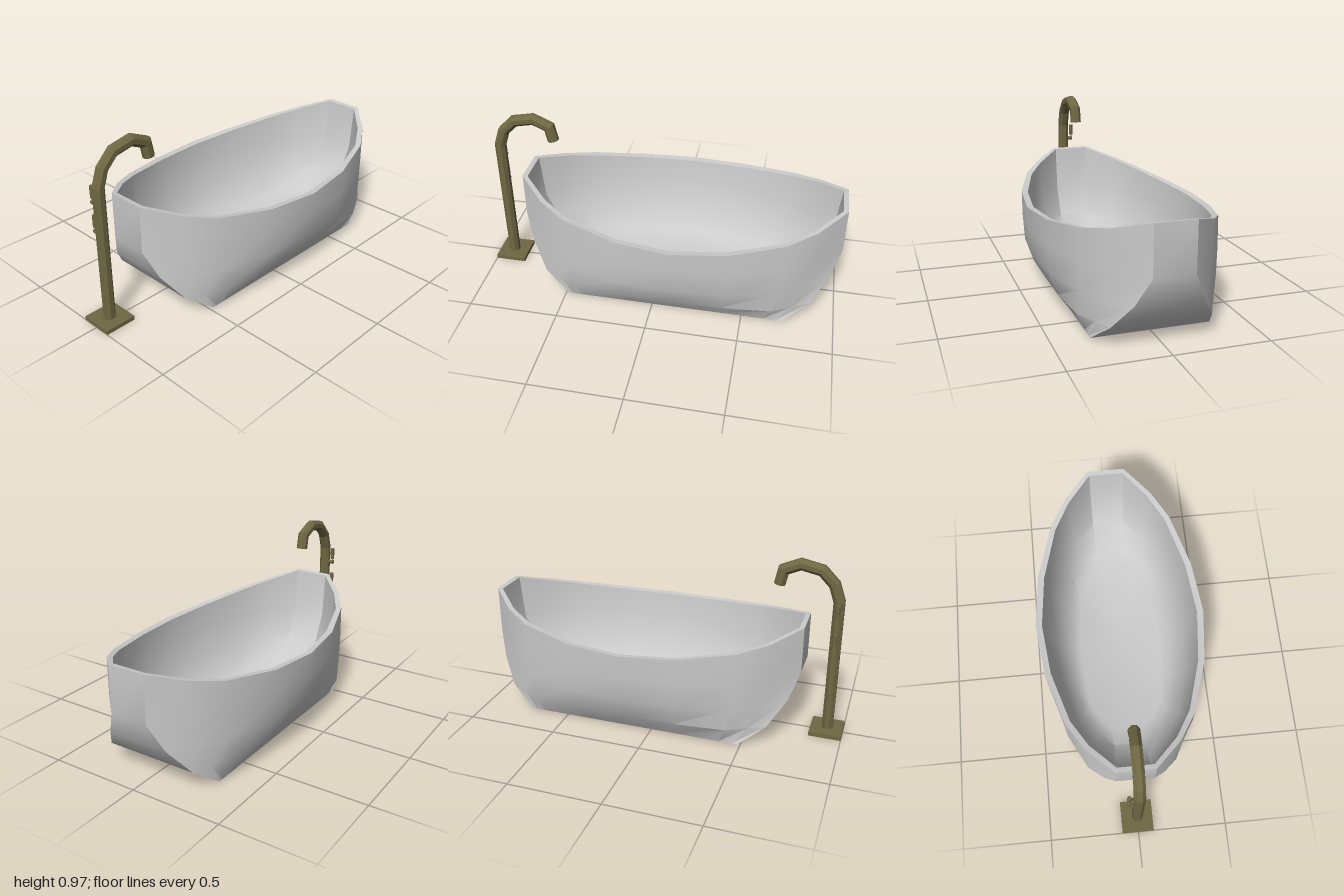
import * as THREE from 'three';
import { toCreasedNormals } from 'three/addons/utils/BufferGeometryUtils.js';

const lerp = THREE.MathUtils.lerp;

// Skin a stack of closed rings (anticlockwise seen from the far end), with optional caps.
function skin(rings, capStart, capEnd) {
  const n = rings[0].length, pos = rings.flat(2), idx = [];
  for (let r = 0; r < rings.length - 1; r++) {
    for (let i = 0; i < n; i++) {
      const a = r * n + i, b = r * n + (i + 1) % n;
      idx.push(a, b, b + n, a, b + n, a + n);
    }
  }
  const cap = (r, flip) => {
    const c = pos.length / 3;
    for (let k = 0; k < 3; k++) pos.push(rings[r].reduce((s, p) => s + p[k], 0) / n);
    for (let i = 0; i < n; i++) {
      const a = r * n + i, b = r * n + (i + 1) % n;
      idx.push(...(flip ? [c, b, a] : [c, a, b]));
    }
  };
  if (capStart) cap(0, true);
  if (capEnd) cap(rings.length - 1, false);
  const g = new THREE.BufferGeometry();
  g.setAttribute('position', new THREE.Float32BufferAttribute(pos, 3));
  g.setIndex(idx);
  return g;
}

// One quarter of the tub, end corner to middle: rim [x, y, z], base x,
// floor [x, z], and the outer wall's z at each height below the rim
const quarter = [
  { rim: [0.8825, 0.635, 0.105], baseX: 0.603, floor: [0.525, 0.09], wall: [0.31, 0.255, 0.17, 0.105] },
  { rim: [0.738, 0.584, 0.25], baseX: 0.57, floor: [0.46, 0.155], wall: [0.31, 0.3, 0.27, 0.252] },
  { rim: [0.588, 0.55, 0.345], baseX: 0.5, floor: [0.365, 0.21], wall: [0.31, 0.358, 0.352, 0.347] },
  { rim: [0.295, 0.517, 0.438], baseX: 0.25, floor: [0.2, 0.23], wall: [0.31, 0.383, 0.428, 0.436] },
  { rim: [0, 0.507, 0.472], baseX: 0, floor: [0, 0.24], wall: [0.31, 0.385, 0.445, 0.464] },
];
const CX = 0.1175;

// Mirror a quarter-column rule into a full ring
function ring(rule) {
  const q = quarter.map(rule);
  const half = [...q, ...q.slice(0, 4).reverse().map(([x, y, z]) => [-x, y, z])];
  return [
    ...half.map(([x, y, z]) => [CX + x, y, -z]),
    ...half.slice().reverse().map(([x, y, z]) => [CX + x, y, z]),
  ];
}

// Mitred octagonal sweep along a path in the xy plane, ending in a hollow mouth
function pipeRings(path, radius) {
  const v = path.map(([x, y]) => new THREE.Vector2(x, y));
  const dir = (i) => v[i + 1].clone().sub(v[i]).normalize();
  const last = v.length - 1;
  const make = (p, t, r, miter) => Array.from({ length: 8 }, (_, k) => {
    const a = (k + 0.5) * Math.PI / 4, c = Math.cos(a) * r * miter;
    return [p.x + t.y * c, p.y - t.x * c, -Math.sin(a) * r];
  });
  const rings = v.map((p, i) => {
    const d0 = dir(Math.max(i - 1, 0)), d1 = dir(Math.min(i, last - 1));
    const t = d0.clone().add(d1).normalize();
    return make(p, t, radius, 1 / t.dot(d0));
  });
  const t = dir(last - 1);
  rings.push(make(v[last], t, radius * 0.85, 1));
  rings.push(make(v[last].clone().addScaledVector(t, -0.03), t, radius * 0.85, 1));
  return rings;
}

export function createModel() {
  const model = new THREE.Group();
  model.name = 'bathtubWithTap';
  const grey = new THREE.MeshStandardMaterial({ color: 0xcccccc });
  const bronze = new THREE.MeshStandardMaterial({ color: 0x6f6843, flatShading: true });
  const group = (parent, name) => {
    const g = new THREE.Group();
    g.name = name;
    parent.add(g);
    return g;
  };
  const add = (parent, name, geo, mat, x = 0, y = 0, z = 0) => {
    const m = new THREE.Mesh(geo, mat);
    m.name = name;
    m.position.set(x, y, z);
    parent.add(m);
    return m;
  };

  // Outer wall: rectangular base growing into the pointed-oval rim
  // level: height, x growth from base to rim
  const tub = group(model, 'tub');
  const outerLevels = [[0.006, 0], [0.11, 0.5], [0.24, 0.82], [0.38, 1]];
  const outer = outerLevels.map(([y, f], i) =>
    ring(({ rim, baseX, wall }) => [lerp(baseX, rim[0], f), y, wall[i]]));
  const rimOuter = ring(({ rim }) => rim);
  const rimInner = ring(({ rim: [x, y, z] }) => [x * 0.97, y - 0.004, z * 0.925]);
  add(tub, 'outerShell', toCreasedNormals(skin([...outer, rimOuter, rimInner], true, false), 0.6), grey);

  // Inner basin, from the rim down to a flat floor
  const innerLevels = [[0.38, 0.93], [0.22, 0.7], [0.09, 0.3], [0.06, 0]];
  const inner = innerLevels.map(([y, f]) => ring(({ rim, floor }) =>
    [lerp(floor[0], rim[0] * 0.97, f), y, lerp(floor[1], rim[2] * 0.925, f)]));
  add(tub, 'innerBasin', toCreasedNormals(skin([rimInner, ...inner], false, true), 0.7), grey);

  // Floor-standing tap
  const tap = group(model, 'tap');
  const TX = -0.916;
  add(tap, 'tapBase', new THREE.BoxGeometry(0.174, 0.022, 0.178), bronze, -0.913, 0.011, -0.002);
  const path = [
    [TX, 0.015], [TX, 0.76], [-0.885, 0.85], [-0.818, 0.917],
    [-0.71, 0.939], [-0.622, 0.9], [-0.605, 0.82],
  ];
  add(tap, 'tapSpout', skin(pipeRings(path, 0.0315), true, true), bronze);

  // Two levers, one above the other, on the back of the pipe
  const rod = (r, h) => new THREE.CylinderGeometry(r, r, h, 8);
  [0.667, 0.507].forEach((y, i) => {
    const lever = group(tap, i ? 'lowerLever' : 'upperLever');
    lever.position.set(TX, y, 0);
    add(lever, 'leverMount', rod(0.0125, 0.034), bronze, 0, 0, -0.041).rotation.x = Math.PI / 2;
    add(lever, 'leverLink', rod(0.004, 0.03), bronze, 0, 0.018, -0.052);
    add(lever, 'leverHandle', rod(0.012, 0.065), bronze, 0, 0.055, -0.051);
  });

  return model;
}
